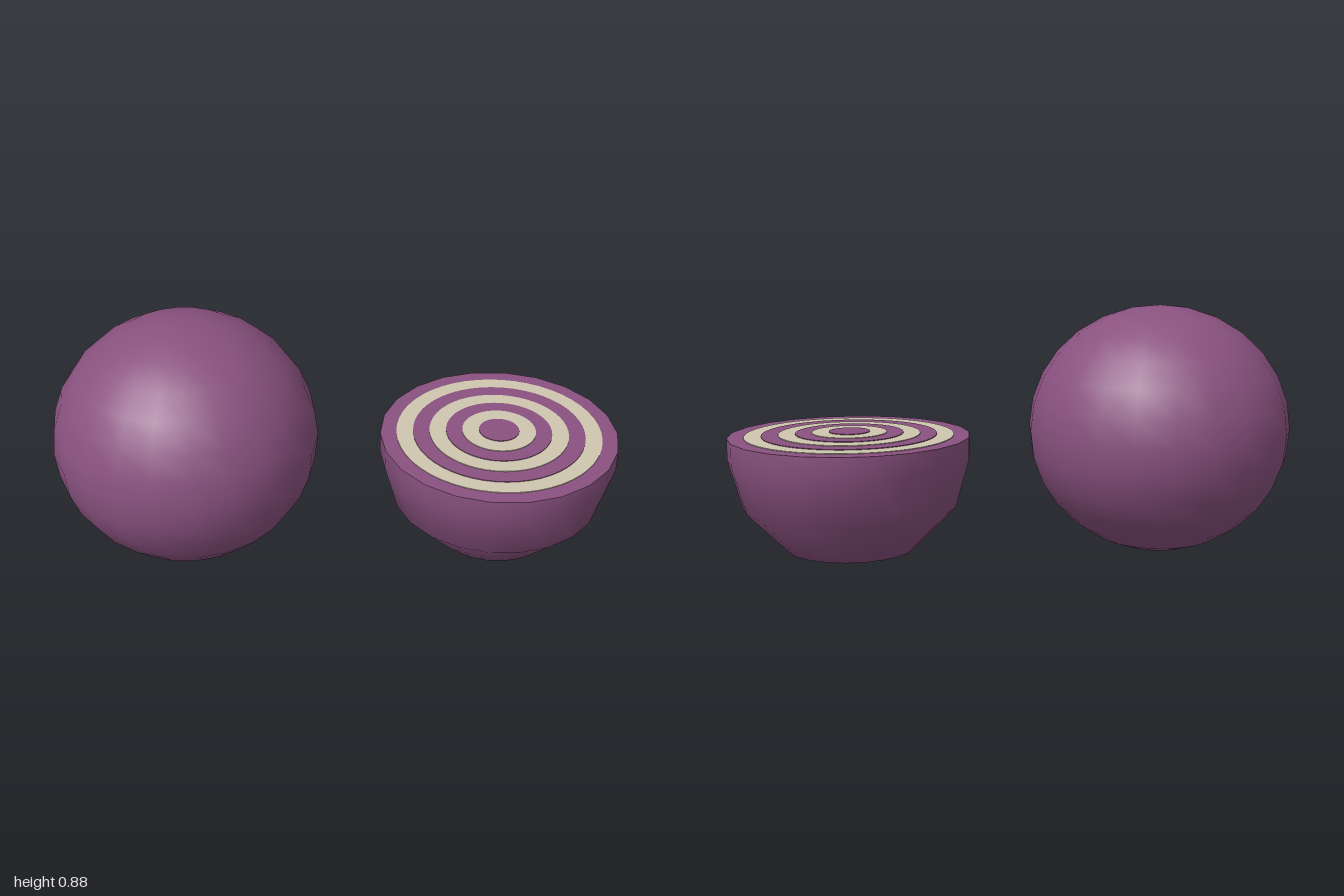
import * as THREE from 'three';

export function createModel() {
  const group = new THREE.Group();
  const skin = new THREE.MeshStandardMaterial({ name: 'purple', color: 0x8a5280 });
  const flesh = new THREE.MeshStandardMaterial({ name: 'cream', color: 0xcfc6b0 });

  const add = (name, geometry, material, x, y) => {
    const mesh = new THREE.Mesh(geometry, material);
    mesh.name = name;
    mesh.position.set(x, y, 0);
    group.add(mesh);
    return mesh;
  };

  // Whole onion: slightly flattened ball
  const whole = add('wholeOnion', new THREE.SphereGeometry(0.467, 22, 14), skin, -0.533, 0.443);
  whole.scale.y = 0.442 / 0.467;

  // Halved onion: coarse dome, open at the top
  const half = new THREE.Group();
  half.name = 'halfOnion';
  half.position.x = 0.574;
  group.add(half);
  const profile = [[0, 0.003], [0.222, 0.047], [0.372, 0.2], [0.42, 0.37], [0.42, 0.447]]
    .map(([r, y]) => new THREE.Vector2(r, y));
  half.add(add('halfSkin', new THREE.LatheGeometry(profile, 22, Math.PI / 2), skin, 0, 0));

  // Cut face: stacked thin discs make the alternating rings
  const radii = [0.42, 0.363, 0.304, 0.246, 0.187, 0.13, 0.071];
  radii.forEach((r, i) => {
    const height = 0.0025;
    const disc = new THREE.CylinderGeometry(r, r, height, i ? 48 : 22, 1, false, Math.PI / 2);
    half.add(add('cutRing' + (i + 1), disc, i % 2 ? flesh : skin, 0, 0.447 + (i - 0.5) * height));
  });

  return group;
}
